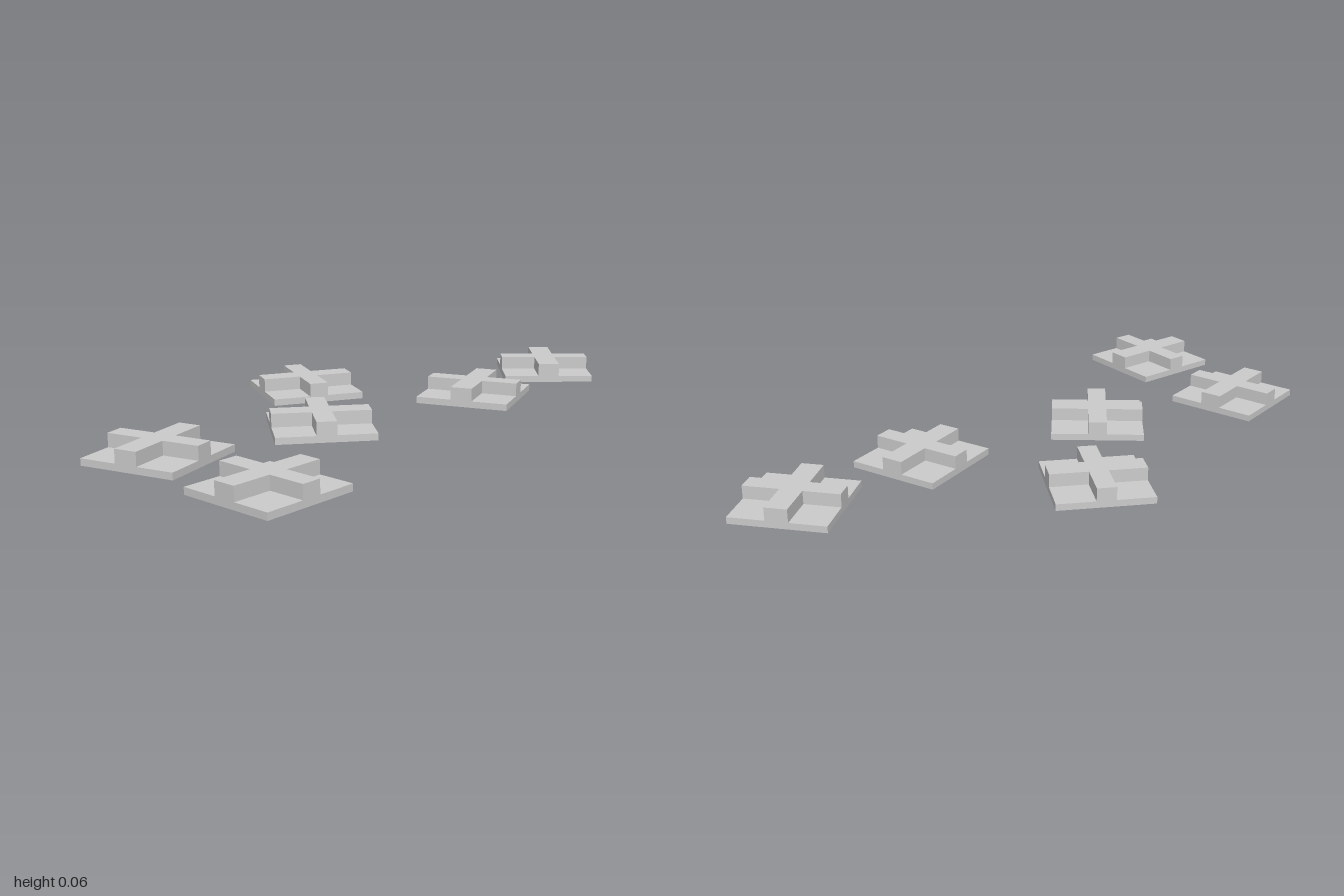
import * as THREE from 'three';

const SIZE = 0.3;      // side of a tile
const BASE = 0.021;    // slab thickness
const HEIGHT = 0.0625; // total height
const BAR_X = 0.07;    // width of the bar running along x
const BAR_Z = 0.06;    // width of the bar running along z

// Plus-shaped outline, reaching the slab edges
function crossShape() {
  const h = SIZE / 2, a = BAR_Z / 2, b = BAR_X / 2;
  return new THREE.Shape([
    [a, -h], [a, -b], [h, -b], [h, b], [a, b], [a, h],
    [-a, h], [-a, b], [-h, b], [-h, -b], [-a, -b], [-a, -h],
  ].map(([x, y]) => new THREE.Vector2(x, y)));
}

export function createModel() {
  const model = new THREE.Group();
  model.name = 'scatteredTiles';
  const material = new THREE.MeshStandardMaterial({ color: 0xcccccc, flatShading: true });

  // Square slab
  const slabGeometry = new THREE.BoxGeometry(SIZE, BASE, SIZE).translate(0, BASE / 2, 0);

  // Raised cross on top of the slab
  const crossGeometry = new THREE.ExtrudeGeometry(crossShape(), { depth: HEIGHT - BASE, bevelEnabled: false });
  crossGeometry.rotateX(-Math.PI / 2).translate(0, BASE, 0);

  // Tile placements: x, z, turn in degrees
  const placements = [
    [-0.83, 0.373, 0],
    [-0.815, -0.074, 15],
    [-0.3, 0.048, -39.3],
    [0.013, -0.32, -28.4],
    [0.332, 0.145, 20.6],
    [0.789, 0.11, 41.4],
  ];
  placements.forEach(([x, z, turn], i) => {
    const tile = new THREE.Group();
    tile.name = `tile${i + 1}`;
    const slab = new THREE.Mesh(slabGeometry, material);
    slab.name = 'slab';
    const cross = new THREE.Mesh(crossGeometry, material);
    cross.name = 'raisedCross';
    tile.add(slab, cross);
    tile.position.set(x, 0, z);
    tile.rotation.y = THREE.MathUtils.degToRad(turn);
    model.add(tile);
  });
  return model;
}
